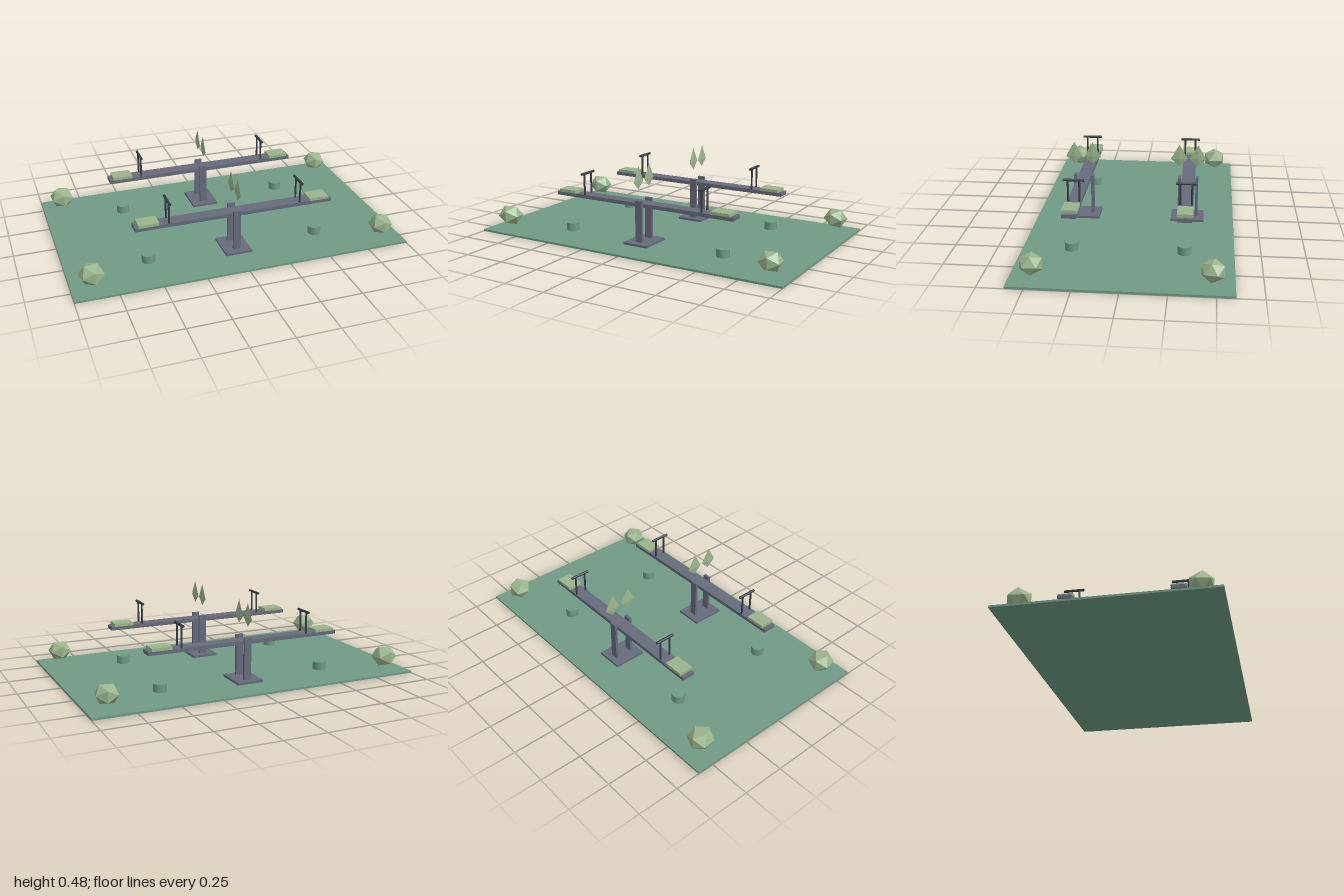
import * as THREE from 'three';

const mat = (name, color, extra = {}) => Object.assign(new THREE.MeshStandardMaterial({ color, ...extra }), { name });

export function createModel() {
  const grass = mat('grass green', 0x6f9a85);
  const slate = mat('slate grey', 0x666a7a);
  const dark = mat('dark metal', 0x393e47);
  const leaf = mat('pale leaf green', 0x9ab58d, { flatShading: true });

  const model = new THREE.Group();
  model.name = 'seesawPlayground';

  const add = (parent, name, geometry, material, x, y, z) => {
    const mesh = new THREE.Mesh(geometry, material);
    mesh.name = name;
    mesh.position.set(x, y, z);
    parent.add(mesh);
    return mesh;
  };
  const box = (w, h, d) => new THREE.BoxGeometry(w, h, d);

  // Ground slab
  add(model, 'ground', box(2, 0.012, 1.2), grass, 0, 0.006, 0);

  // Thin kite-shaped double pyramid, longer above its widest line
  const kite = new THREE.OctahedronGeometry(1);
  const p = kite.attributes.position;
  for (let i = 0; i < p.count; i++) {
    const y = p.getY(i);
    p.setXYZ(i, p.getX(i) * 0.006, y * (y > 0 ? 0.09 : 0.048), p.getZ(i) * 0.051);
  }
  kite.computeVertexNormals();

  for (const z of [-0.32, 0.32]) {
    const seesaw = new THREE.Group();
    seesaw.name = 'seesaw';
    seesaw.position.z = z;
    model.add(seesaw);

    // Base, plank and the pair of uprights with leaves above
    add(seesaw, 'basePlate', box(0.16, 0.014, 0.2), slate, 0, 0.019, 0);
    add(seesaw, 'plank', box(1.2, 0.022, 0.08), slate, 0, 0.244, 0);
    for (const s of [-1, 1]) {
      add(seesaw, 'upright', box(0.044, 0.248, 0.016), slate, 0, 0.149, s * 0.053);
      add(seesaw, 'leaf', kite, leaf, 0, 0.389, s * 0.056);
    }

    // Seat, handle and bumper at each end
    for (const s of [-1, 1]) {
      add(seesaw, 'seat', box(0.12, 0.018, 0.09), leaf, s * 0.52, 0.264, 0);
      for (const side of [-1, 1]) {
        add(seesaw, 'handlePost', new THREE.CylinderGeometry(0.006, 0.006, 0.13, 8), dark, s * 0.4, 0.319, side * 0.033);
      }
      const bar = add(seesaw, 'handleBar', new THREE.CylinderGeometry(0.008, 0.008, 0.12, 8), dark, s * 0.4, 0.384, 0);
      bar.rotation.x = Math.PI / 2;
      add(seesaw, 'bumper', new THREE.CylinderGeometry(0.039, 0.039, 0.048, 20), grass, s * 0.52, 0.036, 0);
    }
  }

  // Corner bushes: x side, z side, radius, turn
  const bushes = [[-1, -1, 0.076, 0.1], [1, -1, 0.072, -0.2], [-1, 1, 0.075, 0.2], [1, 1, 0.071, 0.05]];
  for (const [sx, sz, r, turn] of bushes) {
    const bush = add(model, 'bush', new THREE.IcosahedronGeometry(r, 0), leaf, sx * 0.88, 0.092, sz * 0.48);
    bush.scale.y = 0.88;
    bush.rotation.y = turn;
  }
  return model;
}
